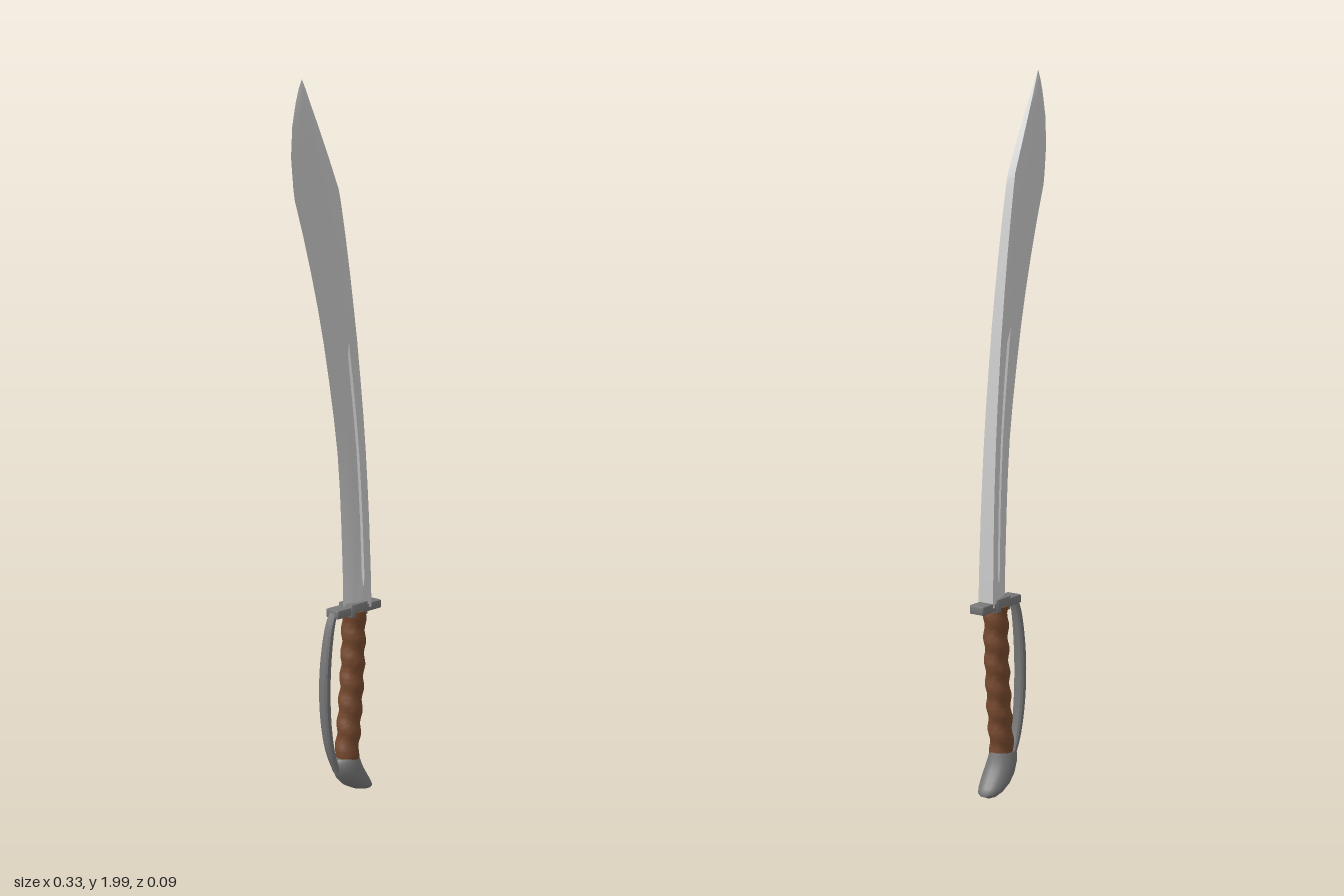
import * as THREE from 'three';
import { toCreasedNormals } from 'three/addons/utils/BufferGeometryUtils.js';

const steel = new THREE.MeshStandardMaterial({ color: 0xcccccc });
const darkSteel = new THREE.MeshStandardMaterial({ color: 0x777777 });
const leather = new THREE.MeshStandardMaterial({ color: 0x76492e });

// Skin a stack of equal-length rings (bottom to top, counter-clockwise from above) and cap both ends.
function loft(rings, crease) {
  const n = rings[0].length, last = rings.length - 1;
  const pos = rings.flat(2), index = [];
  for (let i = 0; i < last; i++) {
    for (let j = 0; j < n; j++) {
      const a = i * n + j, b = i * n + (j + 1) % n;
      index.push(a, b, b + n, a, b + n, a + n);
    }
  }
  for (const i of [0, last]) {
    const c = pos.length / 3;
    for (let k = 0; k < 3; k++) pos.push(rings[i].reduce((s, p) => s + p[k], 0) / n);
    for (let j = 0; j < n; j++) {
      const a = i * n + j, b = i * n + (j + 1) % n;
      if (i === 0) index.push(c, b, a); else index.push(c, a, b);
    }
  }
  const g = new THREE.BufferGeometry();
  g.setAttribute('position', new THREE.Float32BufferAttribute(pos, 3));
  g.setIndex(index);
  return toCreasedNormals(g, crease);
}

function blade() {
  // y, cutting edge x, spine x, half thickness at spine, half thickness of body, fuller depth
  const rows = [
    [0.55, 0.03, 0.122, 0.025, 0.025, 0],
    [0.61, 0.03, 0.121, 0.024, 0.024, 0],
    [0.64, 0.03, 0.12, 0.024, 0.024, 1],
    [0.8, 0.023, 0.114, 0.022, 0.022, 1],
    [0.9, 0.017, 0.108, 0.021, 0.021, 1],
    [1.0, 0.008, 0.101, 0.02, 0.02, 1],
    [1.1, -0.007, 0.092, 0.019, 0.019, 1],
    [1.2, -0.025, 0.081, 0.018, 0.018, 1],
    [1.27, -0.039, 0.073, 0.017, 0.017, 0.9],
    [1.31, -0.047, 0.068, 0.017, 0.017, 0],
    [1.4, -0.068, 0.055, 0.016, 0.016, 0],
    [1.5, -0.095, 0.04, 0.015, 0.015, 0],
    [1.6, -0.125, 0.023, 0.014, 0.014, 0],
    [1.69, -0.155, 0.006, 0.013, 0.014, 0],
    [1.72, -0.16, -0.001, 0.012, 0.014, 0],
    [1.8, -0.168, -0.036, 0.01, 0.013, 0],
    [1.88, -0.163, -0.072, 0.007, 0.012, 0],
    [1.94, -0.15, -0.1, 0.004, 0.009, 0],
    [1.975, -0.139, -0.115, 0.002, 0.005, 0],
    [2.0, -0.127, -0.127, 0, 0, 0],
  ];
  const stations = [0, 0.27, 0.31, 0.37, 0.41, 0.6, 0.8];
  const rings = rows.map(([y, edge, spine, s, b, d]) => {
    const side = stations.map((u, k) => {
      let h = k ? b * (1 - u ** 1.8) : s;
      if (k === 2 || k === 3) h -= 0.006 * d;
      return [spine + (edge - spine) * u, y, h];
    });
    return [
      ...side.map(([x, yy, h]) => [x, yy, -h]),
      [edge, y, 0],
      ...side.reverse(),
    ];
  });
  return loft(rings, 0.45);
}

// Leather grip swelling in a spiral wrap
function grip() {
  const rings = [], n = 20, steps = 60;
  for (let i = 0; i <= steps; i++) {
    const t = i / steps, y = 0.11 + 0.435 * t;
    const cx = 0.045 + 0.03 * Math.sin(t * Math.PI / 2);
    rings.push(Array.from({ length: n }, (_, j) => {
      const a = j / n * Math.PI * 2;
      const r = 0.0335 + 0.0025 * Math.cos(t * 6.5 * Math.PI * 2 + a);
      return [cx + r * 1.03 * Math.cos(a), y, -r * Math.sin(a)];
    }));
  }
  return loft(rings, 1.2);
}

// Pommel hooking toward the spine side
function pommel() {
  // low side x, y, high side x, y, half depth
  const rows = [
    [0.122, 0.006, 0.137, 0.013, 0.012],
    [0.105, 0.007, 0.137, 0.022, 0.027],
    [0.075, 0.015, 0.128, 0.036, 0.036],
    [0.042, 0.032, 0.114, 0.058, 0.042],
    [0.016, 0.058, 0.1, 0.08, 0.043],
    [0.0, 0.09, 0.09, 0.1, 0.041],
    [-0.003, 0.11, 0.086, 0.115, 0.037],
    [0.003, 0.12, 0.083, 0.124, 0.033],
  ];
  const n = 16;
  return loft(rows.map(([x0, y0, x1, y1, d]) => Array.from({ length: n }, (_, j) => {
    const a = j / n * Math.PI * 2, c = Math.cos(a) / 2;
    return [(x0 + x1) / 2 + (x1 - x0) * c, (y0 + y1) / 2 + (y1 - y0) * c, -d * Math.sin(a)];
  })), 0.9);
}

// Flat bow from the pommel up to the cross guard
function knuckleBow() {
  const path = new THREE.CatmullRomCurve3([
    [0.004, 0.085], [-0.022, 0.15], [-0.039, 0.24], [-0.044, 0.34],
    [-0.038, 0.43], [-0.024, 0.51], [-0.008, 0.555],
  ].map(([x, y]) => new THREE.Vector3(x, y, 0)));
  const rings = [];
  for (let i = 0; i <= 28; i++) {
    const u = i / 28, p = path.getPoint(u), t = path.getTangent(u);
    const w = 0.007 + 0.004 * Math.sin(u * Math.PI), d = 0.011 + 0.005 * Math.sin(u * Math.PI);
    const section = [[1, 0.6], [0.6, 1], [-0.6, 1], [-1, 0.6], [-1, -0.6], [-0.6, -1], [0.6, -1], [1, -0.6]];
    // the normal (t.y, -t.x) points toward the hand
    rings.push(section.map(([a, b]) => [p.x + t.y * w * a, p.y - t.x * w * a, -d * b]));
  }
  return loft(rings, 0.5);
}

// Rounded plate of the cross guard, lying flat
function plate(x0, x1, y0, y1, halfDepth, corner) {
  const s = new THREE.Shape(), d = halfDepth, b = 0.003;
  s.moveTo(x0 + corner, -d).lineTo(x1 - corner, -d).quadraticCurveTo(x1, -d, x1, -d + corner)
    .lineTo(x1, d - corner).quadraticCurveTo(x1, d, x1 - corner, d)
    .lineTo(x0 + corner, d).quadraticCurveTo(x0, d, x0, d - corner)
    .lineTo(x0, -d + corner).quadraticCurveTo(x0, -d, x0 + corner, -d);
  const g = new THREE.ExtrudeGeometry(s, {
    depth: y1 - y0 - 2 * b, bevelThickness: b, bevelSize: b, bevelOffset: -b, bevelSegments: 2, curveSegments: 4,
  });
  g.rotateX(-Math.PI / 2).translate(0, y0 + b, 0);
  return toCreasedNormals(g, 0.6);
}

export function createModel() {
  const model = new THREE.Group();
  model.name = 'sabre';
  const add = (name, geometry, material) => {
    const mesh = new THREE.Mesh(geometry, material);
    mesh.name = name;
    model.add(mesh);
  };
  add('blade', blade(), steel);
  add('crossGuard', plate(-0.016, 0.167, 0.538, 0.562, 0.024, 0.007), darkSteel);
  add('guardCollar', plate(0.037, 0.108, 0.532, 0.57, 0.028, 0.012), darkSteel);
  add('grip', grip(), leather);
  add('knuckleBow', knuckleBow(), darkSteel);
  add('pommel', pommel(), darkSteel);
  return model;
}
